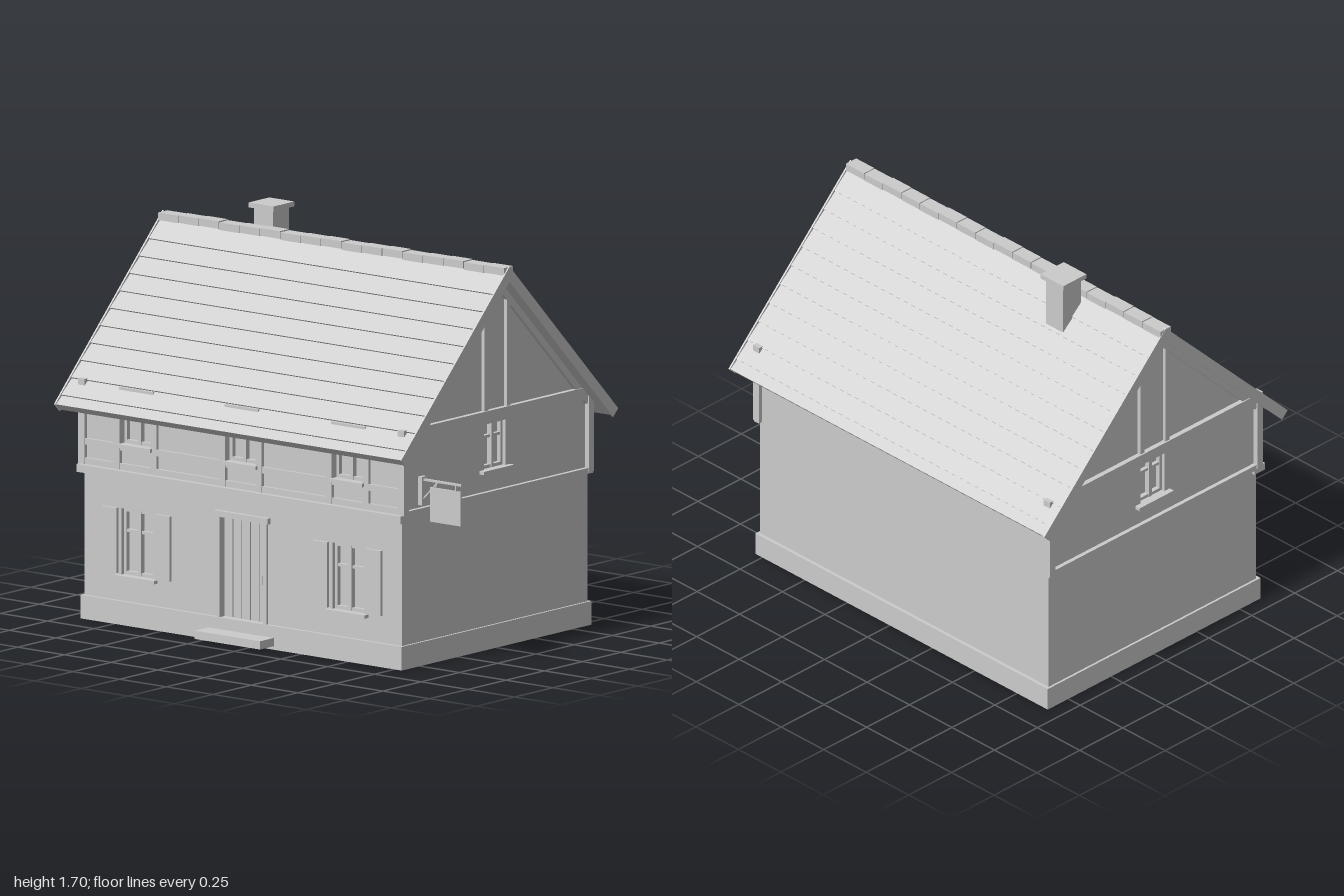
import * as THREE from 'three';

const X0 = -0.92, X1 = 0.78, XC = -0.07; // wall ends and middle of the house
const Z = 0.605;                         // wall face, front and back
const T = 0.04;                          // wall thickness

export function createModel() {
  const house = new THREE.Group();
  house.name = 'house';
  const grey = new THREE.MeshStandardMaterial({ color: 0xcccccc });
  grey.name = 'light grey';

  const add = (name, geo, parent = house) => {
    const m = new THREE.Mesh(geo, grey);
    m.name = name;
    parent.add(m);
    return m;
  };
  // box given by its limits
  const box = (name, x0, x1, y0, y1, z0, z1, parent) => {
    const m = add(name, new THREE.BoxGeometry(x1 - x0, y1 - y0, z1 - z0), parent);
    m.position.set((x0 + x1) / 2, (y0 + y1) / 2, (z0 + z1) / 2);
    return m;
  };
  const shapeOf = (pts) => new THREE.Shape(pts.map(([x, y]) => new THREE.Vector2(x, y)));
  const rect = (x0, x1, y0, y1) => [[x0, y0], [x1, y0], [x1, y1], [x0, y1]];
  const extrude = (pts, depth, holes = []) => {
    const s = shapeOf(pts);
    holes.forEach((h) => s.holes.push(new THREE.Path(shapeOf(rect(...h)).getPoints().reverse())));
    return new THREE.ExtrudeGeometry(s, { depth, bevelEnabled: false });
  };

  // casement window facing +z, standing on y = 0, wall face at z = 0
  const makeWindow = (name, w, h, sill) => {
    const g = new THREE.Group();
    g.name = name;
    const a = w / 2, f = 0.014;
    box('windowPane', -a, a, 0, h, -0.05, -0.035, g);
    for (const s of [-1, 1]) {
      const c = s * (a - f / 2);
      box('windowFrameSide', c - f / 2, c + f / 2, 0, h, -0.04, -0.015, g);
    }
    box('windowFrameTop', -a, a, h - f, h, -0.04, -0.015, g);
    box('windowFrameBottom', -a, a, 0, f, -0.04, -0.015, g);
    box('windowMullion', -0.008, 0.008, 0, h, -0.04, -0.012, g);
    box('windowTransom', -a, a, h * 0.64, h * 0.64 + 0.012, -0.04, -0.018, g);
    if (sill) box('windowSill', -sill / 2, sill / 2, -0.014, 0, -0.04, 0.025, g);
    house.add(g);
    return g;
  };

  // plinth ring
  for (const s of [-1, 1]) {
    const z = s * 0.595, x = XC + s * 0.835;
    box('plinthLong', -0.93, 0.79, 0, 0.1, z - 0.025, z + 0.025);
    box('plinthEnd', x - 0.025, x + 0.025, 0, 0.1, -0.57, 0.57);
  }

  // front wall with openings, plain back wall
  const lowerX = [-0.637, 0.492], upperX = [-0.637, -0.073, 0.498];
  const holes = [
    ...lowerX.map((x) => [x - 0.085, x + 0.085, 0.21, 0.49]),
    ...upperX.map((x) => [x - 0.083, x + 0.083, 0.765, 0.955]),
    [-0.19, 0.05, 0.1, 0.52],
  ];
  add('frontWall', extrude(rect(X0, X1, 0.05, 0.975), T, holes)).position.z = Z - T;
  box('backWall', X0, X1, 0.05, 0.975, -Z, T - Z);

  // ground floor windows with shutters
  for (const x of lowerX) {
    makeWindow('lowerWindow', 0.17, 0.28, 0.215).position.set(x, 0.21, Z);
    for (const s of [-1, 1]) {
      const c = x + s * 0.143;
      box('shutter', c - 0.04, c + 0.04, 0.215, 0.49, Z, Z + 0.013);
    }
  }

  // door: planks, frame, lintel, handle and step
  for (let i = 0; i < 5; i++) {
    const x = -0.187 + i * 0.0468;
    box('doorPlank', x, x + 0.0428, 0.1, 0.515, Z - 0.05, Z - 0.02);
  }
  box('doorBack', -0.19, 0.05, 0.1, 0.52, Z - 0.055, Z - 0.035);
  box('doorHandle', 0.015, 0.027, 0.26, 0.3, Z - 0.02, Z - 0.005);
  box('doorFrameLeft', 0.045, 0.063, 0.1, 0.527, Z - 0.03, Z + 0.012);
  box('doorFrameRight', -0.205, -0.187, 0.1, 0.527, Z - 0.03, Z + 0.012);
  box('doorLintel', -0.215, 0.075, 0.525, 0.55, Z - 0.03, Z + 0.018);
  box('doorStep', -0.245, 0.105, 0.015, 0.05, 0.6, 0.71);

  // timber framing of the upper front
  box('jettyBeam', -0.935, 0.8, 0.622, 0.655, 0.58, 0.64);
  box('lowerRail', -0.92, 0.785, 0.655, 0.682, 0.59, 0.618);
  box('breastRail', -0.92, 0.785, 0.737, 0.764, 0.59, 0.618);
  box('wallPlate', -0.92, 0.785, 0.955, 0.985, 0.59, 0.618);
  for (const x of upperX) {
    for (const s of [-1, 1]) {
      const c = x + s * 0.098;
      box('frontStud', c - 0.015, c + 0.015, 0.655, 0.975, 0.59, 0.62);
    }
    makeWindow('upperWindow', 0.166, 0.19).position.set(x, 0.765, Z);
    box('upperWindowHead', x - 0.09, x + 0.09, 0.985, 1.003, 0.59, 0.615);
    box('upperWindowSill', x - 0.09, x + 0.09, 0.75, 0.765, 0.58, 0.632);
  }
  for (const x of [-0.925, 0.785])
    for (const z of [-0.605, 0.605])
      box('cornerPost', x - 0.018, x + 0.018, 0.65, 1.014, z - 0.016, z + 0.016);

  // gable ends, built facing +z and turned to each side
  for (const s of [-1, 1]) {
    const g = new THREE.Group();
    g.name = s > 0 ? 'leftGable' : 'rightGable';
    g.position.x = s > 0 ? X1 : X0;
    g.rotation.y = s * Math.PI / 2;
    house.add(g);
    const pts = [[-Z, 0.05], [Z, 0.05], [Z, 0.975], [0, 1.575], [-Z, 0.975]];
    add('gableWall', extrude(pts, T, [[-0.07, 0.07, 0.76, 0.96]]), g).position.z = -T;
    box('gableSillBeam', -0.62, 0.62, 0.643, 0.668, -0.01, 0.018, g);
    box('gableTieBeam', -0.62, 0.62, 0.957, 0.985, -0.01, 0.015, g);
    box('gableUpperBeam', -0.565, 0.565, 0.985, 1.012, -0.01, 0.022, g);
    for (const k of [-1, 1]) {
      const c = k * 0.073;
      box('gablePost', c - 0.0125, c + 0.0125, 1.01, 1.485, -0.01, 0.015, g);
      const rafter = add('gableRafter', new THREE.BoxGeometry(0.84, 0.032, 0.028), g);
      rafter.position.set(k * 0.297, 1.248, 0.003);
      rafter.rotation.z = -k * Math.PI / 4;
    }
    const w = makeWindow('gableWindow', 0.14, 0.2, 0.2);
    w.position.set(0, 0.76, 0);
    g.add(w);
  }

  // roof halves: overlapping courses as a stepped profile at 45 degrees
  const R = Math.SQRT1_2;
  const slope = (s, t) => [(s + t) * R, 1.605 + (t - s) * R];
  const profile = [slope(0.03, -0.03), slope(0.99, -0.03), slope(0.99, 0.007)];
  for (let i = 0; i < 10; i++) {
    const s = 0.94 - i * 0.0898;
    profile.push(slope(s, 0), slope(s, 0.007));
  }
  profile.push(slope(0, 0));
  const verge = [slope(0.036, -0.036), slope(0.993, -0.036), slope(0.993, 0.01), slope(-0.01, 0.01)];
  for (const s of [-1, 1]) {
    const half = new THREE.Group();
    half.name = s > 0 ? 'frontRoof' : 'backRoof';
    half.rotation.y = -s * Math.PI / 2;
    half.position.x = s > 0 ? 0.855 : -0.995;
    add('roofCourses', extrude(profile, 1.85), half);
    for (const z of [-0.005, 1.847]) add('vergeBoard', extrude(verge, 0.008), half).position.z = z;
    house.add(half);
  }

  // ridge tiles
  const n = 17, step = 1.855 / n;
  for (let i = 0; i < n; i++) {
    const x = -0.998 + i * step;
    const lift = (i % 3) * 0.002;
    box('ridgeTile', x, x + step - 0.003, 1.582 + lift, 1.614 + lift, -0.03, 0.03);
  }

  // chimney
  box('chimneyStack', -0.545, -0.445, 1.4, 1.69, -0.15, -0.045);
  box('chimneyCap', -0.562, -0.428, 1.682, 1.703, -0.165, -0.03);

  // hanging sign on a bracket
  box('signArm', 0.78, 1.0, 0.783, 0.792, 0.48, 0.49);
  box('signBoard', 0.835, 0.998, 0.615, 0.76, 0.48, 0.49);
  for (const x of [0.865, 0.97]) box('signHanger', x - 0.003, x + 0.003, 0.755, 0.785, 0.482, 0.488);
  box('signPlate', 0.78, 0.8, 0.68, 0.8, 0.47, 0.5);
  const brace = add('signBrace', new THREE.BoxGeometry(0.115, 0.007, 0.007));
  brace.position.set(0.835, 0.745, 0.485);
  brace.rotation.z = Math.PI / 4;

  return house;
}
